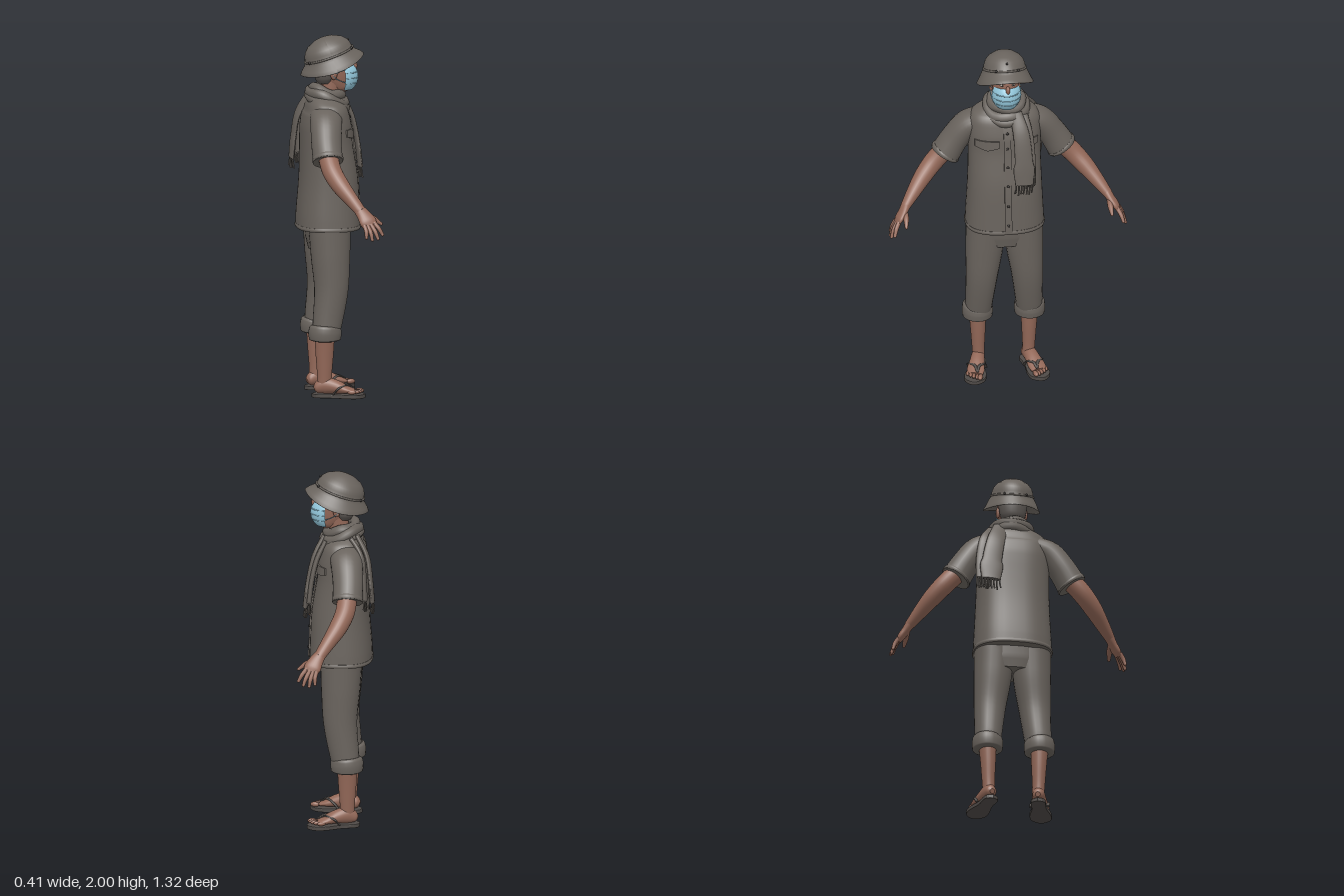
import * as THREE from 'three';

const V = (x, y, z) => new THREE.Vector3(x, y, z);
const mat = (name, color, side = THREE.FrontSide) => {
  const m = new THREE.MeshStandardMaterial({ color, side });
  m.name = name;
  return m;
};

// Closed loft along sections [x, y, z, radius along ref, radius across]
function loft(sections, ref = V(1, 0, 0), { n = 24, steps = 5, p = 2 } = {}) {
  const path = new THREE.CatmullRomCurve3(sections.map(s => V(s[0], s[1], s[2])));
  const size = new THREE.CatmullRomCurve3(sections.map(s => V(s[3], s[4] ?? s[3], 0)));
  const rows = (sections.length - 1) * steps, pos = [], idx = [];
  const bulge = c => Math.sign(c) * Math.abs(c) ** (2 / p);
  for (let i = 0; i <= rows; i++) {
    const c = path.getPoint(i / rows), r = size.getPoint(i / rows), t = path.getTangent(i / rows);
    const u = ref.clone().addScaledVector(t, -ref.dot(t)).normalize();
    const v = t.clone().cross(u);
    for (let j = 0; j < n; j++) {
      const a = j / n * Math.PI * 2;
      const q = c.clone().addScaledVector(u, r.x * bulge(Math.cos(a))).addScaledVector(v, r.y * bulge(Math.sin(a)));
      pos.push(q.x, q.y, q.z);
      if (i < rows) {
        const k = i * n + j, l = i * n + (j + 1) % n;
        idx.push(k, l, k + n, l, l + n, k + n);
      }
    }
  }
  // End caps keep their own vertices so the rims stay sharp
  for (const [row, flip] of [[0, true], [rows, false]]) {
    const start = pos.length / 3, c = path.getPoint(row / rows);
    for (let j = 0; j < n; j++) pos.push(...pos.slice((row * n + j) * 3, (row * n + j) * 3 + 3));
    pos.push(c.x, c.y, c.z);
    for (let j = 0; j < n; j++) {
      const a = start + j, b = start + (j + 1) % n;
      idx.push(start + n, flip ? b : a, flip ? a : b);
    }
  }
  const g = new THREE.BufferGeometry();
  g.setAttribute('position', new THREE.Float32BufferAttribute(pos, 3));
  g.setIndex(idx);
  g.computeVertexNormals();
  return g;
}

const cord = (pts, r, closed = false, seg = 24) =>
  new THREE.TubeGeometry(new THREE.CatmullRomCurve3(pts.map(q => V(...q)), closed), seg, r, 8, closed);

// Shirt rows: y, centre x, depth radius, width radius
const SHIRT = [[0.93, -0.01, 0.174, 0.218], [1.0, -0.01, 0.172, 0.215], [1.2, -0.007, 0.16, 0.205], [1.4, -0.02, 0.142, 0.2],
  [1.5, -0.022, 0.138, 0.203], [1.58, -0.025, 0.122, 0.2], [1.625, -0.03, 0.1, 0.175], [1.665, -0.03, 0.075, 0.11]];
function shirtFront(y, z) {
  let i = 0;
  while (i < SHIRT.length - 2 && y > SHIRT[i + 1][0]) i++;
  const a = SHIRT[i], b = SHIRT[i + 1], t = (y - a[0]) / (b[0] - a[0]);
  const [cx, rx, rz] = [1, 2, 3].map(k => a[k] + (b[k] - a[k]) * t);
  return cx + rx * (1 - Math.min(1, Math.abs(z / rz)) ** 2.5) ** 0.4;
}
// Thin cloth panel that follows the chest
function panel(z0, z1, y0, y1, point = 0) {
  const g = new THREE.BoxGeometry(z1 - z0, y1 - y0, 0.008, 8, 12, 1), q = g.attributes.position;
  for (let i = 0; i < q.count; i++) {
    const z = (z0 + z1) / 2 - q.getX(i);
    let y = (y0 + y1) / 2 + q.getY(i);
    if (q.getY(i) < 0) y -= point * (1 - Math.abs(q.getX(i)) * 2 / (z1 - z0));
    q.setXYZ(i, shirtFront(y, z) + 0.005 + q.getZ(i), y, z);
  }
  g.computeVertexNormals();
  return g;
}

export function createModel() {
  const root = new THREE.Group();
  root.name = 'figure';
  const cloth = mat('cloth', 0x69635d, THREE.DoubleSide), skin = mat('skin', 0x936858);
  const blue = mat('maskBlue', 0x92c6da, THREE.DoubleSide), sole = mat('sandal', 0x4f4a47);
  const hairMat = mat('hair', 0x5c5753, THREE.DoubleSide), dark = mat('dark', 0x2c2826), white = mat('eyeWhite', 0xc9c2ba);
  const add = (name, geo, m, parent = root) => {
    const mesh = new THREE.Mesh(geo, m);
    mesh.name = name;
    parent.add(mesh);
    return mesh;
  };
  const ball = (name, m, c, r, parent = root) => {
    const b = add(name, new THREE.SphereGeometry(1, 16, 12), m, parent);
    b.position.set(...c);
    b.scale.set(...r);
    return b;
  };

  // Shirt with placket, buttons and pocket flaps
  add('shirt', loft(SHIRT.map(([y, x, a, b]) => [x, y, 0, a, b]), V(1, 0, 0), { n: 48, p: 2.5 }), cloth);
  add('shirtHem', loft([[-0.01, 0.93, 0, 0.175, 0.219], [-0.01, 0.94, 0, 0.178, 0.222], [-0.01, 0.952, 0, 0.175, 0.219]], V(1, 0, 0), { n: 48, p: 2.5 }), cloth);
  add('placket', panel(-0.02, 0.02, 0.94, 1.6), cloth);
  for (const y of [0.99, 1.11, 1.23, 1.34, 1.45, 1.54]) ball('button', dark, [shirtFront(y, 0) + 0.01, y, 0], [0.004, 0.008, 0.008]);
  for (const s of [1, -1]) {
    const [a, b] = s > 0 ? [0.045, 0.175] : [-0.175, -0.045];
    add('pocketFlap', panel(a, b, 1.455, 1.495, 0.018), cloth);
  }

  // Hips
  add('hips', loft([[-0.015, 0.81, 0, 0.1, 0.17], [-0.015, 0.87, 0, 0.113, 0.207], [-0.015, 0.97, 0, 0.12, 0.21]], V(1, 0, 0), { n: 40, p: 2.3 }), cloth);

  for (const s of [1, -1]) {
    // Sleeve, arm and hand
    add('sleeve', loft([[-0.04, 1.565, s * 0.13, 0.09, 0.065], [-0.05, 1.53, s * 0.2, 0.088, 0.075],
      [-0.06, 1.44, s * 0.27, 0.084, 0.078], [-0.06, 1.348, s * 0.325, 0.083, 0.084]]), cloth);
    add('sleeveHem', loft([[-0.06, 1.365, s * 0.314, 0.084, 0.085], [-0.06, 1.357, s * 0.32, 0.087, 0.088], [-0.06, 1.348, s * 0.326, 0.084, 0.085]]), cloth);
    add('arm', loft([[-0.06, 1.41, s * 0.29, 0.056], [-0.05, 1.31, s * 0.385, 0.054, 0.055], [-0.015, 1.24, s * 0.45, 0.05, 0.05],
      [0.04, 1.165, s * 0.515, 0.039, 0.038], [0.085, 1.105, s * 0.565, 0.031, 0.026]]), skin);
    add('palm', loft([[0.075, 1.117, s * 0.556, 0.031, 0.026], [0.1, 1.085, s * 0.578, 0.04, 0.023],
      [0.118, 1.055, s * 0.6, 0.047, 0.021], [0.13, 1.03, s * 0.615, 0.04, 0.013]]), skin);
    const fingers = [[0.15, 1.05, 0.605, 0.195, 0.985, 0.635], [0.133, 1.04, 0.613, 0.167, 0.966, 0.65],
      [0.115, 1.033, 0.618, 0.135, 0.96, 0.652], [0.097, 1.035, 0.618, 0.103, 0.972, 0.648]];
    for (const [x, y, z, a, b, c] of fingers) {
      add('finger', loft([[x, y, s * z, 0.0125], [(x + a) / 2 + 0.004, (y + b) / 2, s * ((z + c) / 2 + 0.005), 0.012],
        [a, b, s * c, 0.009]], V(1, 0, 0), { n: 10 }), skin);
      ball('fingertip', skin, [a, b, s * c], [0.009, 0.009, 0.009]);
    }
    add('thumb', loft([[0.1, 1.09, s * 0.57, 0.018], [0.155, 1.065, s * 0.568, 0.016], [0.197, 1.035, s * 0.572, 0.009]], V(0, 1, 0), { n: 10 }), skin);
    ball('thumbTip', skin, [0.197, 1.035, s * 0.572], [0.009, 0.009, 0.009]);

    // Trouser leg with rolled cuff
    add('trouserLeg', loft([[-0.042, 0.36, s * 0.142, 0.075, 0.072], [-0.033, 0.42, s * 0.138, 0.082, 0.075], [-0.01, 0.6, s * 0.126, 0.094, 0.088],
      [-0.012, 0.78, s * 0.111, 0.108, 0.104], [-0.015, 0.93, s * 0.105, 0.116, 0.108]], V(1, 0, 0), { p: 2.2 }), cloth);
    add('rolledCuff', loft([[-0.048, 0.318, s * 0.145, 0.072, 0.07], [-0.048, 0.326, s * 0.145, 0.088, 0.083], [-0.048, 0.36, s * 0.145, 0.092, 0.086],
      [-0.046, 0.388, s * 0.144, 0.088, 0.083], [-0.045, 0.4, s * 0.143, 0.076, 0.072]]), cloth);
    add('shin', loft([[-0.05, 0.05, s * 0.137, 0.04, 0.033], [-0.05, 0.12, s * 0.14, 0.041, 0.035],
      [-0.05, 0.24, s * 0.142, 0.05, 0.042], [-0.05, 0.36, s * 0.145, 0.057, 0.05]]), skin);

    // Foot and sandal, turned outward
    const foot = new THREE.Group();
    foot.name = 'foot';
    foot.position.set(-0.01, 0, s * 0.15);
    foot.rotation.y = -s * 0.24;
    root.add(foot);
    add('footBody', loft([[-0.098, 0.048, 0, 0.014, 0.014], [-0.085, 0.052, 0, 0.03, 0.029], [-0.04, 0.066, 0, 0.046, 0.036],
      [0.02, 0.06, 0, 0.038, 0.041], [0.08, 0.045, 0, 0.023, 0.049], [0.125, 0.036, 0, 0.012, 0.045]], V(0, 1, 0)), skin, foot);
    for (let i = 0; i < 5; i++)
      ball('toe', skin, [0.15 - i * i * 0.0024, 0.035, s * (-0.033 + i * 0.0185)], [0.026, i ? 0.011 : 0.014, i ? 0.0095 : 0.014], foot);
    const outline = new THREE.Shape();
    outline.setFromPoints(new THREE.SplineCurve([[-0.11, 0], [-0.085, 0.036], [0, 0.038], [0.09, 0.058], [0.15, 0.048], [0.183, 0],
      [0.15, -0.05], [0.09, -0.056], [0, -0.038], [-0.085, -0.036], [-0.11, 0]].map(q => new THREE.Vector2(...q))).getPoints(50));
    const soleGeo = new THREE.ExtrudeGeometry(outline, { depth: 0.014, bevelSize: 0.003, bevelThickness: 0.004, bevelSegments: 2 });
    add('sandalSole', soleGeo.rotateX(-Math.PI / 2).translate(0, 0.004, 0), sole, foot);
    for (const k of [1, -1])
      add('sandalStrap', loft([[0.125, 0.05, -s * 0.014, 0.005, 0.006], [0.085, 0.069, k * 0.012 - s * 0.008, 0.005, 0.009],
        [0.045, 0.06, k * 0.042, 0.005, 0.011], [0.01, 0.022, k * 0.047, 0.005, 0.01]], V(0, 1, 0), { n: 10 }), sole, foot);

    // Ear, mask loop and eye
    ball('ear', skin, [0.012, 1.795, s * 0.078], [0.02, 0.033, 0.011]);
    for (const y of [1.815, 1.745])
      add('maskLoop', cord([[0.075, y, s * 0.08], [0.035, y * 0.6 + 1.785 * 0.4, s * 0.084], [0.005, 1.785, s * 0.086]], 0.0025), blue);
    ball('eyeWhite', white, [0.122, 1.85, s * 0.031], [0.007, 0.006, 0.013]);
    ball('pupil', dark, [0.127, 1.85, s * 0.031], [0.004, 0.005, 0.005]);
    add('eyebrow', cord([[0.128, 1.866, s * 0.016], [0.124, 1.871, s * 0.034], [0.111, 1.866, s * 0.05]], 0.004), hairMat);
  }

  // Head, neck and hair
  add('neck', loft([[-0.02, 1.58, 0, 0.065, 0.065], [0.005, 1.68, 0, 0.06, 0.056], [0.025, 1.79, 0, 0.065, 0.06]]), skin);
  add('head', loft([[0.09, 1.69, 0, 0.035, 0.035], [0.078, 1.715, 0, 0.065, 0.056], [0.05, 1.77, 0, 0.09, 0.07],
    [0.03, 1.85, 0, 0.102, 0.076], [0.02, 1.92, 0, 0.085, 0.065]], V(1, 0, 0), { n: 32 }), skin);
  ball('nose', skin, [0.138, 1.825, 0], [0.018, 0.024, 0.012]);
  add('hair', loft([[-0.022, 1.735, 0, 0.04, 0.05], [-0.025, 1.765, 0, 0.056, 0.07], [-0.025, 1.83, 0, 0.064, 0.08],
    [-0.01, 1.9, 0, 0.07, 0.072]]), hairMat);

  // Face mask with pleats
  const mask = add('faceMask', new THREE.SphereGeometry(1, 32, 20, Math.PI - 1.4, 2.8, 0.8, 1.6), blue);
  mask.position.set(0.06, 1.767, 0);
  mask.scale.set(0.1, 0.095, 0.083);
  for (const y of [1.735, 1.765, 1.795]) {
    const r = Math.sqrt(1 - ((y - 1.767) / 0.095) ** 2);
    add('maskPleat', cord([-1.35, -0.7, 0, 0.7, 1.35].map(a => [0.06 + 0.1 * r * Math.cos(a), y, 0.083 * r * Math.sin(a)]), 0.003), blue);
  }

  // Sun helmet, tipped back
  const hat = new THREE.Group();
  hat.name = 'hat';
  hat.position.set(0.015, 1.838, 0);
  hat.rotation.z = 0.33;
  hat.scale.z = 0.85;
  root.add(hat);
  const crown = new THREE.LatheGeometry([[0.181, -0.003], [0.185, 0.001], [0.172, 0.018], [0.15, 0.038], [0.137, 0.056], [0.134, 0.08],
    [0.123, 0.106], [0.1, 0.13], [0.055, 0.152], [0.025, 0.158], [0, 0.159]].map(q => new THREE.Vector2(...q)), 48);
  const cp = crown.attributes.position;
  for (let i = 0; i < cp.count; i++) if (cp.getY(i) < 0.03) cp.setY(i, cp.getY(i) - 0.7 * cp.getZ(i) ** 2);
  crown.computeVertexNormals();
  add('helmet', crown, cloth, hat);
  add('hatBand', new THREE.TorusGeometry(0.138, 0.006, 8, 48).rotateX(Math.PI / 2).translate(0, 0.058, 0), cloth, hat);
  for (let i = 0; i < 4; i++) {
    const a = Math.PI * (0.17 + [0, 0.66, 1, 1.66][i]);
    ball('bandStud', dark, [0.143 * Math.cos(a), 0.06, 0.143 * Math.sin(a)], [0.008, 0.008, 0.008], hat);
  }
  ball('frontVent', dark, [0.128, 0.1, 0], [0.006, 0.007, 0.007], hat);

  // Scarf wound round the neck
  const loop = (x, z, y, tilt, r, wave) => add('scarfLoop', cord(Array.from({ length: 16 }, (_, i) => {
    const a = i / 8 * Math.PI;
    return [-0.012 + x * Math.cos(a), y - tilt * Math.cos(a) + 0.007 * Math.sin(3 * a + wave), -0.01 + z * Math.sin(a)];
  }), r, true, 64), cloth);
  loop(0.075, 0.083, 1.685, 0.022, 0.03, 0);
  loop(0.092, 0.102, 1.655, 0.035, 0.032, 2);
  loop(0.1, 0.11, 1.63, 0.03, 0.028, 4);

  // Hanging scarf ends with fringe: points [x, y, z, half width]
  const tails = [
    [[0.08, 1.65, -0.05, 0.035], [0.135, 1.54, -0.075, 0.045], [0.17, 1.38, -0.085, 0.05], [0.185, 1.25, -0.085, 0.05]],
    [[0.07, 1.63, -0.09, 0.03], [0.118, 1.53, -0.11, 0.032], [0.148, 1.4, -0.118, 0.034], [0.162, 1.28, -0.12, 0.032]],
    [[-0.1, 1.66, -0.08, 0.04], [-0.158, 1.55, -0.115, 0.05], [-0.178, 1.42, -0.14, 0.055], [-0.188, 1.3, -0.148, 0.055]],
    [[-0.07, 1.65, -0.12, 0.03], [-0.13, 1.56, -0.165, 0.038], [-0.145, 1.43, -0.185, 0.04], [-0.15, 1.32, -0.188, 0.038]]];
  for (const tail of tails) {
    add('scarfEnd', loft(tail.map(([x, y, z, w]) => [x, y, z, 0.014, w]), V(1, 0, 0), { n: 20 }), cloth);
    const [x, y, z, w] = tail[3];
    for (let i = 0; i < 7; i++) {
      const fz = z + w * (i / 3 - 1) * 0.9;
      add('fringe', cord([[x, y + 0.01, fz], [x + 0.004 * (i % 3 - 1), y - 0.03, fz], [x + 0.009 * (i % 3 - 1), y - 0.055 - 0.006 * (i % 2), fz + 0.004]], 0.0045, false, 6), cloth);
    }
  }
  return root;
}
